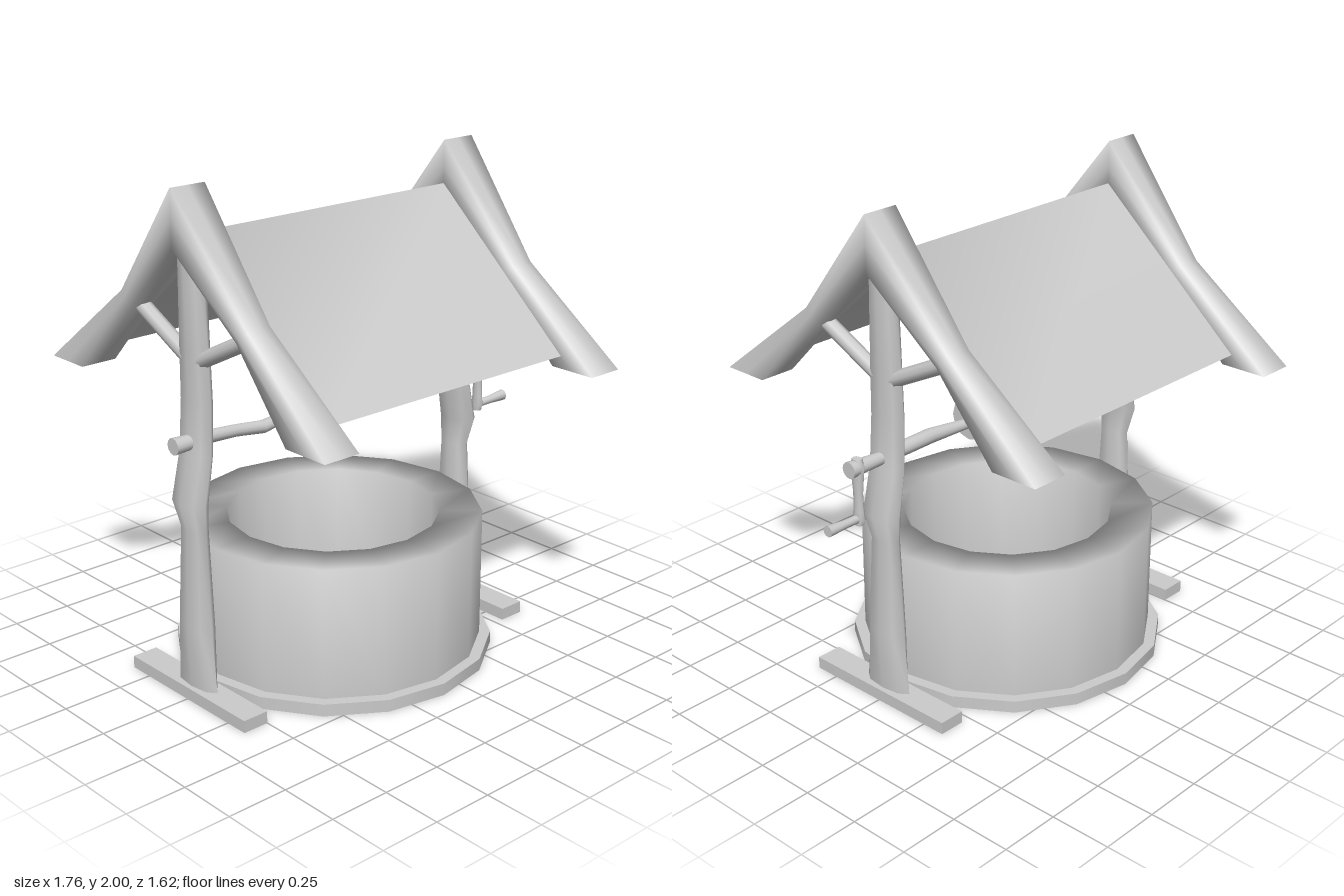
import * as THREE from 'three';

const CX = -0.105; // middle of the well
const V = (x, y, z) => new THREE.Vector3(x, y, z);
const grey = new THREE.MeshStandardMaterial({ color: 0xcccccc });
const greyOpen = new THREE.MeshStandardMaterial({ color: 0xcccccc, side: THREE.DoubleSide });

// Eight-sided or rounder ring around c; k = 0.71 is round, 1 is square at the corners
function ring(c, u, v, k = Math.SQRT1_2, sides = 8) {
  return Array.from({ length: sides }, (_, i) => {
    const a = (i / sides) * Math.PI * 2;
    const f = i % 2 ? k / Math.SQRT1_2 : 1;
    return c.clone().addScaledVector(u, Math.cos(a) * f).addScaledVector(v, Math.sin(a) * f);
  });
}

// Smooth skin through rings of points, with flat end caps
function loft(rings) {
  const n = rings[0].length, pts = rings.flat(), index = [];
  for (let r = 0; r < rings.length - 1; r++) {
    for (let i = 0; i < n; i++) {
      const a = r * n + i, b = r * n + (i + 1) % n;
      index.push(a, b, a + n, b, b + n, a + n);
    }
  }
  [rings[0], rings[rings.length - 1]].forEach((end, e) => {
    const s = pts.length;
    pts.push(...end);
    for (let i = 1; i < n - 1; i++) {
      if (e) index.push(s, s + i, s + i + 1);
      else index.push(s, s + i + 1, s + i);
    }
  });
  const g = new THREE.BufferGeometry().setFromPoints(pts);
  g.setIndex(index);
  g.computeVertexNormals();
  return g;
}

// Bar along x from stations [x, y, radius]
const barX = (stations) =>
  loft(stations.map(([x, y, r]) => ring(V(x, y, 0), V(0, r, 0), V(0, 0, r), Math.SQRT1_2, 12)));

// Upright from stations [x, y, half width in x, half depth in z]
const upright = (stations) =>
  loft(stations.map(([x, y, w, d]) => ring(V(x, y, 0), V(0, 0, d), V(w, 0, 0))));

export function createModel() {
  const model = new THREE.Group();
  const add = (name, geometry, material = grey, parent = model) => {
    const m = new THREE.Mesh(geometry, material);
    m.name = name;
    parent.add(m);
    return m;
  };
  const lathe = (points) =>
    new THREE.LatheGeometry(points.map(([r, y]) => new THREE.Vector2(r, y)), 16);

  // Hollow round wall on a low plinth, open underneath
  add('wellWall', lathe([[0.6, 0.05], [0.6, 0.585], [0.43, 0.585], [0.43, 0]]), greyOpen).position.x = CX;
  add('wellPlinthSide', lathe([[0.645, 0], [0.645, 0.05]]), greyOpen).position.x = CX;
  add('wellPlinthTop', lathe([[0.645, 0.05], [0.6, 0.05]]), greyOpen).position.x = CX;

  // One frame at each end: foot, crooked post, gable beam and braces
  for (const s of [-1, 1]) {
    const frame = new THREE.Group();
    frame.name = s > 0 ? 'leftFrame' : 'rightFrame';
    model.add(frame);
    const X = (d) => CX + s * d;

    // Foot board without an underside
    const foot = new THREE.BoxGeometry(0.11, 0.05, 0.7);
    const idx = Array.from(foot.index.array);
    idx.splice(18, 6);
    foot.setIndex(idx);
    foot.clearGroups();
    add('foot', foot, greyOpen, frame).position.set(X(0.7), 0.025, 0);

    add('post', upright([
      [X(0.6975), 0.03, 0.037, 0.117], [X(0.695), 0.3, 0.05, 0.092],
      [X(0.6925), 0.7, 0.038, 0.07], [X(0.71), 0.81, 0.05, 0.092],
      [X(0.675), 1.0, 0.041, 0.09], [X(0.665), 1.2, 0.04, 0.084],
      [X(0.667), 1.4, 0.04, 0.078], [X(0.67), 1.82, 0.04, 0.063],
    ]), grey, frame);

    // Gable beam: [outer z, outer y, inner z, inner y, outer x distance, corner]
    const half = [
      [0.81, 1.2, 0.61, 1.2, 0.755, 1],
      [0.38, 1.56, 0.3, 1.49, 0.737, 0.76],
      [0, 2, 0, 1.78, 0.755, 1],
    ];
    const far = half.slice(0, 2).reverse().map(([a, b, c, d, e, f]) => [-a, b, -c, d, e, f]);
    add('gableBeam', loft([...half, ...far].map(([oz, oy, iz, iy, d, k]) => {
      const c = V(X((0.6 + d) / 2), (oy + iy) / 2, (oz + iz) / 2);
      return ring(c, V(0, (oy - iy) / 2, (oz - iz) / 2), V((d - 0.6) / 2, 0, 0), k);
    })), grey, frame);

    // Slanted braces between post and beam
    for (const t of [-1, 1]) {
      const path = new THREE.LineCurve3(V(X(0.668), 1.36, t * 0.04), V(X(0.668), 1.515, t * 0.35));
      add('brace', new THREE.TubeGeometry(path, 1, 0.031, 8), grey, frame);
    }
  }

  // Thin roof sheet folded over the ridge
  const roof = new THREE.PlaneGeometry(1.22, 1.3, 1, 2).rotateX(-Math.PI / 2);
  const p = roof.attributes.position;
  for (let i = 0; i < p.count; i++) p.setY(i, 1.825 - 0.885 * Math.abs(p.getZ(i)));
  roof.computeVertexNormals();
  add('roof', roof, greyOpen).position.x = CX;

  // Windlass: crooked axle, rope drum, crank
  add('axle', barX([
    [-0.885, 1.045, 0.033], [-0.72, 1.045, 0.026], [-0.6, 1.038, 0.024], [-0.46, 1.02, 0.026],
    [-0.33, 1.038, 0.02], [0.12, 1.03, 0.02], [0.34, 1.047, 0.03], [0.48, 1.045, 0.03],
    [0.6, 1.042, 0.025], [0.765, 1.048, 0.033],
  ]));
  add('drum', barX([
    [-0.34, 1.045, 0.08], [-0.28, 1.045, 0.083], [-0.22, 1.04, 0.07],
    [0, 1.04, 0.068], [0.06, 1.043, 0.08], [0.125, 1.045, 0.085],
  ]));
  add('crankArm', upright([
    [0.722, 0.81, 0.017, 0.02], [0.722, 0.835, 0.017, 0.031], [0.722, 0.87, 0.015, 0.026],
    [0.722, 0.94, 0.014, 0.023], [0.722, 1.02, 0.016, 0.033],
    [0.722, 1.055, 0.017, 0.037], [0.722, 1.083, 0.017, 0.022],
  ]));
  add('crankHandle', barX([[0.71, 0.835, 0.016], [0.8, 0.837, 0.017], [0.88, 0.84, 0.023]]));
  return model;
}
